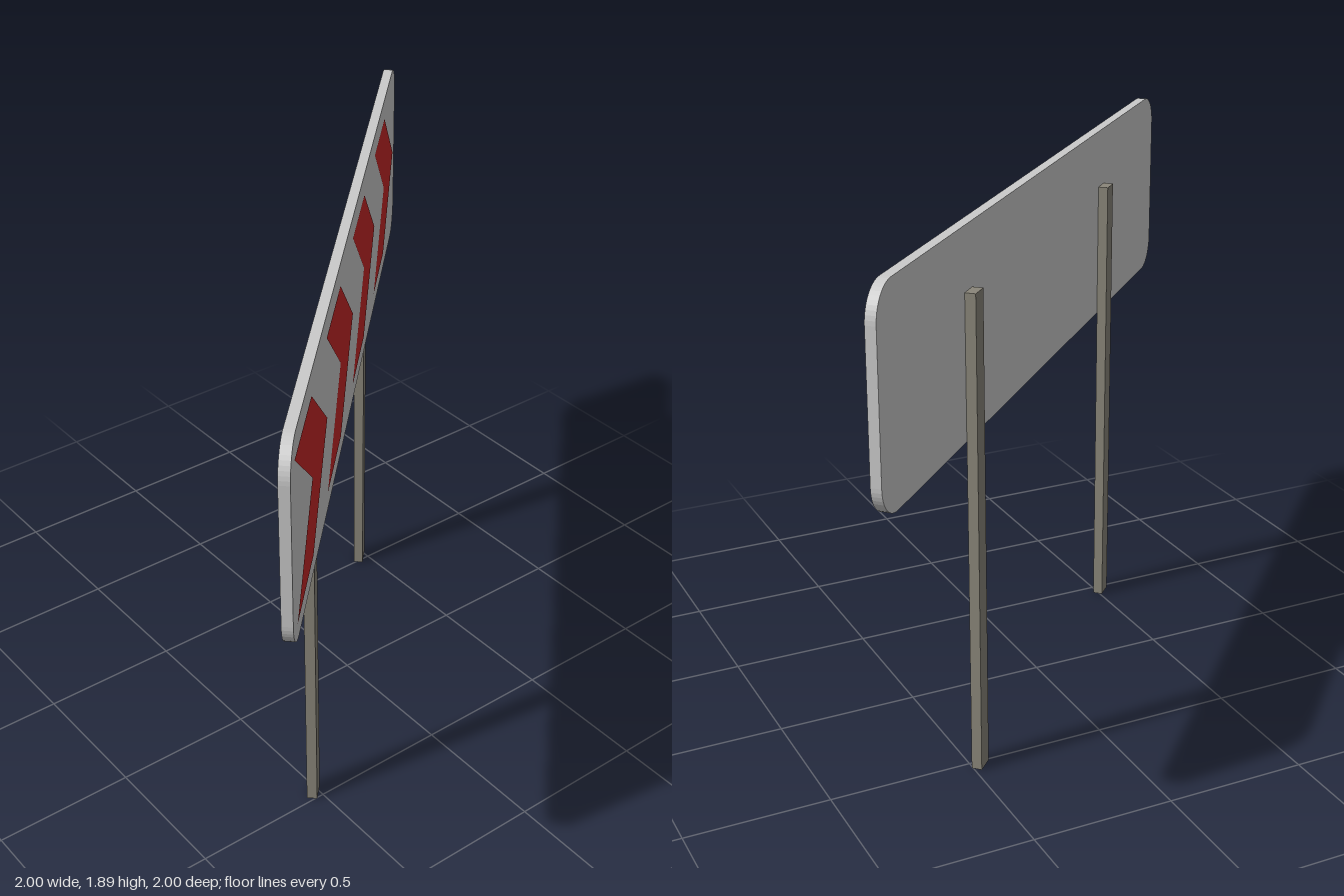
import * as THREE from 'three';

const LENGTH = 2.794, THICK = 0.035, BOTTOM = 1.19, TOP = 1.89, RADIUS = 0.11;

function roundedRect(x0, y0, x1, y1, r) {
  const s = new THREE.Shape();
  s.absarc(x1 - r, y0 + r, r, -Math.PI / 2, 0);
  s.absarc(x1 - r, y1 - r, r, 0, Math.PI / 2);
  s.absarc(x0 + r, y1 - r, r, Math.PI / 2, Math.PI);
  s.absarc(x0 + r, y0 + r, r, Math.PI, Math.PI * 1.5);
  s.closePath();
  return s;
}

export function createModel() {
  const model = new THREE.Group();
  model.name = 'chevronSign';

  const grey = new THREE.MeshStandardMaterial({ color: 0xcccccc });
  const red = new THREE.MeshStandardMaterial({ color: 0xc82828 });
  const postGrey = new THREE.MeshStandardMaterial({ color: 0x8a867a });

  const add = (name, geometry, material, x, y, z) => {
    const mesh = new THREE.Mesh(geometry, material);
    mesh.name = name;
    mesh.position.set(x, y, z);
    model.add(mesh);
  };

  // Board with rounded corners
  const board = new THREE.ExtrudeGeometry(
    roundedRect(-LENGTH / 2, BOTTOM, LENGTH / 2, TOP, RADIUS),
    { depth: THICK, bevelEnabled: false, curveSegments: 6 });
  add('board', board, grey, 0, 0, -THICK / 2);

  // Four chevrons on the marked face
  const chevron = new THREE.ShapeGeometry(new THREE.Shape([
    [0, -0.28], [0.332, -0.28], [0.663, 0], [0.332, 0.28], [0, 0.28], [0.332, 0],
  ].map(([x, y]) => new THREE.Vector2(x, y))));
  for (let i = 0; i < 4; i++) {
    add(`chevron${i + 1}`, chevron, red, -1.33 + i * 0.664, 1.54, THICK / 2 + 0.002);
  }

  // Two posts against the plain face
  const post = new THREE.BoxGeometry(0.067, 1.68, 0.036);
  for (const side of [-1, 1]) {
    add(side < 0 ? 'leftPost' : 'rightPost', post, postGrey,
      side * 0.697, 0.84, -THICK / 2 - 0.018);
  }

  // The whole sign stands diagonally
  model.rotation.y = Math.PI * 0.75;
  const root = new THREE.Group();
  root.name = 'roadSign';
  root.add(model);
  return root;
}
